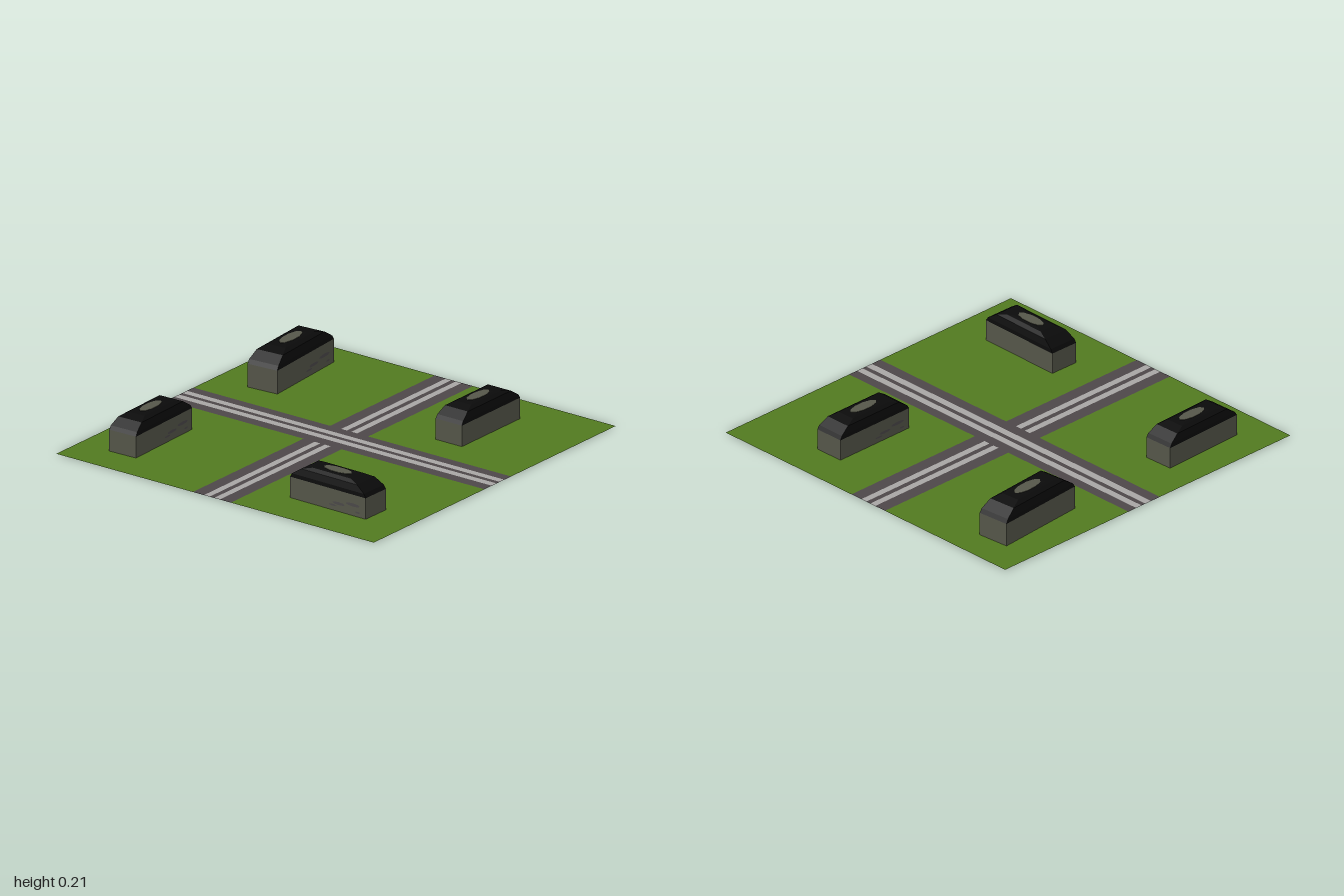
import * as THREE from 'three';

const mat = (name, color, extra = {}) => {
  const m = new THREE.MeshStandardMaterial({ color, flatShading: true, ...extra });
  m.name = name;
  return m;
};
const both = { side: THREE.DoubleSide };

export function createModel() {
  const grass = mat('grassGreen', 0x527a20, both);
  const asphalt = mat('asphaltGrey', 0x4d4749, both);
  const paint = mat('laneGrey', 0xa8a6a4, both);
  const wall = mat('wallGrey', 0x56574a);
  const roofBlack = mat('roofBlack', 0x0b0b0b);
  const stain = mat('stainGrey', 0x4c494a);

  const model = new THREE.Group();
  model.name = 'crossroads';
  const add = (parent, name, geometry, material) => {
    const mesh = new THREE.Mesh(geometry, material);
    mesh.name = name;
    parent.add(mesh);
    return mesh;
  };

  // Ground sheet: side-by-side tiles, so nothing overlaps
  const GROUND = 0.002;
  const tile = (name, x0, x1, z0, z1, material) => {
    const g = new THREE.PlaneGeometry(x1 - x0, z1 - z0).rotateX(-Math.PI / 2);
    g.translate((x0 + x1) / 2, GROUND, (z0 + z1) / 2);
    add(model, name, g, material);
  };
  const roadX = [-0.14, -0.07, -0.034, -0.006, 0.03, 0.1];
  const roadZ = [-0.135, -0.08, -0.042, -0.016, 0.024, 0.085];

  // Main road runs through along x
  for (let i = 0; i < 5; i++) {
    tile(i % 2 ? 'mainLaneStripe' : 'mainRoad', -1, 1, roadZ[i], roadZ[i + 1], i % 2 ? paint : asphalt);
  }
  // Side roads and lawns on both sides of the main road
  for (const [z0, z1] of [[-1, roadZ[0]], [roadZ[5], 1]]) {
    for (let i = 0; i < 5; i++) {
      tile(i % 2 ? 'sideLaneStripe' : 'sideRoad', roadX[i], roadX[i + 1], z0, z1, i % 2 ? paint : asphalt);
    }
    tile('lawn', -1, roadX[0], z0, z1, grass);
    tile('lawn', roadX[5], 1, z0, z1, grass);
  }

  // Roof: stacked rectangular sections of [half width, half length, height]
  const sections = [
    [0.0825, 0.241, 0.115], [0.081, 0.229, 0.135], [0.072, 0.178, 0.169],
    [0.05, 0.122, 0.182], [0.034, 0.09, 0.185],
  ];
  const roofGeometry = () => {
    const pos = [], idx = [];
    for (const [w, l, y] of sections) pos.push(w, y, l, w, y, -l, -w, y, -l, -w, y, l);
    for (let s = 0; s < sections.length - 1; s++) {
      for (let k = 0; k < 4; k++) {
        const a = s * 4 + k, b = s * 4 + (k + 1) % 4;
        idx.push(a, b, b + 4, a, b + 4, a + 4);
      }
    }
    const t = (sections.length - 1) * 4;
    idx.push(t, t + 1, t + 2, t, t + 2, t + 3);
    const g = new THREE.BufferGeometry();
    g.setAttribute('position', new THREE.Float32BufferAttribute(pos, 3));
    g.setIndex(idx);
    g.computeVertexNormals();
    return g;
  };

  // One building, its length along z
  const wallGeo = new THREE.BoxGeometry(0.165, 0.115, 0.482).translate(0, 0.0575, 0);
  const roofGeo = roofGeometry();
  const patchGeo = new THREE.CylinderGeometry(1, 1, 0.002, 10)
    .scale(0.032, 1, 0.088).translate(0, 0.1858, 0);
  const stains = [[-0.16, 0.06, 0.09, 0.018], [-0.07, 0.045, 0.08, 0.016], [-0.03, 0.03, 0.05, 0.01], [-0.19, 0.025, 0.03, 0.01]];
  const building = (x, z, angle, lift, sx = 1, sy = 1, sz = 1) => {
    const b = new THREE.Group();
    b.name = 'building';
    add(b, 'walls', wallGeo, wall);
    add(b, 'roof', roofGeo, roofBlack);
    add(b, 'roofPatch', patchGeo, wall);
    // Faint weathering on one long wall
    for (const [sz0, sy0, len, h] of stains) {
      const g = new THREE.CircleGeometry(0.5, 8).scale(len, h, 1)
        .rotateY(Math.PI / 2).translate(0.0832, sy0, sz0);
      add(b, 'wallStain', g, stain);
    }
    b.position.set(x, lift, z);
    b.rotation.y = angle;
    b.scale.set(sx, sy, sz);
    model.add(b);
  };
  building(-0.72, -0.57, 0.077, 0.003, 1.08, 1.09, 1.08);
  building(0.475, -0.55, Math.PI, 0);
  building(-0.735, 0.568, 0.03, 0.003);
  building(0.535, 0.686, -Math.PI / 2 - 0.015, 0);

  return model;
}
